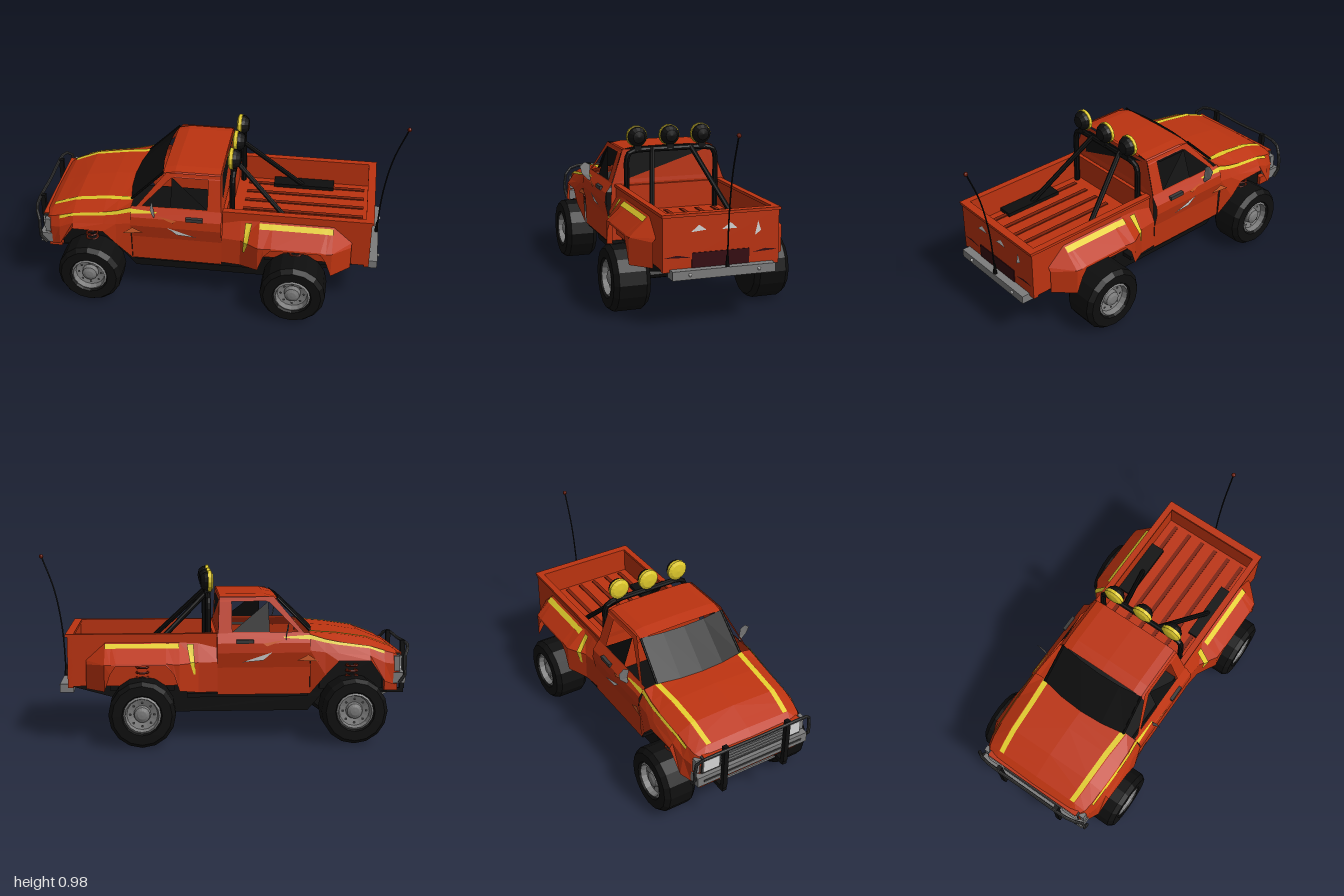
import * as THREE from 'three';

const mat = (name, color) => {
  const m = new THREE.MeshStandardMaterial({ color, flatShading: true, side: THREE.DoubleSide });
  m.name = name;
  return m;
};

export function createModel() {
  const red = mat('body red', 0xbc3310), black = mat('black', 0x0e0e0e), yellow = mat('stripe yellow', 0xe2cc2c);
  const grey = mat('metal grey', 0x7c7c7c), white = mat('decal white', 0xd6d6d6), darkRed = mat('dark red', 0x350a10);
  const orange = mat('decal orange', 0xcf5a28), groove = mat('groove red', 0x7c210c), darkGrey = mat('dark grey', 0x3a3a3a);

  const root = new THREE.Group();
  root.name = 'pickupTruck';
  const add = (name, geo, m, x = 0, y = 0, z = 0) => {
    const mesh = new THREE.Mesh(geo, m);
    mesh.name = name;
    mesh.position.set(x, y, z);
    root.add(mesh);
    return mesh;
  };
  // box given by its min and max on each axis
  const box = (name, m, x0, x1, y0, y1, z0, z1) =>
    add(name, new THREE.BoxGeometry(x1 - x0, y1 - y0, z1 - z0), m, (x0 + x1) / 2, (y0 + y1) / 2, (z0 + z1) / 2);
  // surface through rows of [x, y, z] points
  const grid = (name, m, rows) => {
    const n = rows[0].length, idx = [];
    for (let r = 0; r < rows.length - 1; r++) for (let c = 0; c < n - 1; c++) {
      const a = r * n + c;
      idx.push(a, a + n, a + 1, a + 1, a + n, a + n + 1);
    }
    const g = new THREE.BufferGeometry();
    g.setAttribute('position', new THREE.Float32BufferAttribute(rows.flat(2), 3));
    g.setIndex(idx);
    g.computeVertexNormals();
    return add(name, g, m);
  };
  const flip = (rows, s) => rows.map(r => r.map(([x, y, z]) => [x, y, z * s]));
  const tri = (name, m, a, b, c) => grid(name, m, [[a, b], [c, c]]);
  const frame = (name, m, outer, inner) => grid(name, m, [[...outer, outer[0]], [...inner, inner[0]]]);
  const tube = (name, m, pts, r, smooth = false) => {
    const v = pts.map(p => new THREE.Vector3(...p));
    let path = new THREE.CatmullRomCurve3(v);
    if (!smooth) {
      path = new THREE.CurvePath();
      for (let i = 1; i < v.length; i++) path.add(new THREE.LineCurve3(v[i - 1], v[i]));
    }
    return add(name, new THREE.TubeGeometry(path, smooth ? 20 : (v.length - 1) * 6, r, 8), m);
  };
  // band lying on a lofted surface, between t0 and t1 of one section segment
  const band = (name, rows, seg, t0, t1, s) => grid(name, yellow, flip(rows.map(r => [t0, t1].map(t =>
    r[seg].map((v, k) => v + (r[seg + 1][k] - v) * t + (k ? 0.004 : 0)))), s));

  // Half sections [z, y] from the hood centre to the lower edge
  const nose = [
    [-.94, 0, .465, .24, .46, .29, .45, .305, .41, .305, .30],
    [-.90, 0, .495, .25, .49, .315, .465, .335, .41, .335, .30],
    [-.85, 0, .515, .255, .51, .325, .48, .35, .42, .365, .32],
    [-.77, 0, .548, .26, .54, .33, .505, .36, .46, .378, .435],
    [-.60, 0, .575, .265, .565, .335, .53, .365, .475, .382, .435],
    [-.53, 0, .58, .27, .57, .335, .545, .365, .48, .38, .36],
    [-.45, 0, .585, .275, .578, .33, .57, .363, .49, .35, .255]];
  const fender = [
    [.04, .305, .50, .345, .43, .345, .27],
    [.14, .305, .525, .355, .43, .355, .27],
    [.24, .305, .53, .415, .43, .415, .29],
    [.27, .305, .53, .415, .43, .418, .38],
    [.31, .305, .53, .415, .435, .418, .425],
    [.57, .305, .53, .415, .435, .418, .425],
    [.60, .305, .53, .415, .43, .418, .38],
    [.63, .305, .53, .412, .43, .412, .29],
    [.73, .305, .44, .32, .42, .32, .29]];
  const toRows = t => t.map(([x, ...p]) => Array.from({ length: p.length / 2 }, (_, i) => [x, p[2 * i + 1], p[2 * i]]));
  const noseRows = toRows(nose), fenderRows = toRows(fender);
  const winZ = y => .325 - (y - .58) * .34;

  for (const s of [1, -1]) {
    const P = (x, y, z) => [x, y, z * s];
    const W = ([x, y], o = 0) => P(x, y, winZ(y) + o);
    const zBox = (name, m, x0, x1, y0, y1, z0, z1) => box(name, m, x0, x1, y0, y1, Math.min(z0 * s, z1 * s), Math.max(z0 * s, z1 * s));
    // Bodywork
    grid('hoodAndFrontFender', red, flip(noseRows, s));
    band('hoodStripe', noseRows.slice(1), 0, .86, .97, s);
    band('frontFenderStripe', noseRows.slice(2), 2, .02, .3, s);
    const cab = x => [P(x, .58, .325), P(x, .53, .36), P(x, .48, .365), P(x, .40, .348), P(x, .255, .345)];
    grid('doorPanel', red, [cab(-.45), cab(.04)]);
    grid('doorStripe', yellow, [[P(-.45, .57, .338), P(-.45, .548, .352)], [P(-.31, .562, .342), P(-.31, .556, .346)]]);
    grid('rearFender', red, flip(fenderRows, s));
    band('rearFenderStripe', [...fenderRows.slice(2, 7), fenderRows[7]], 0, .08, .3, s);
    grid('rearFenderStripeLeg', yellow, [[P(.165, .525, .322), P(.20, .525, .322)],
      [P(.16, .435, .375), P(.185, .435, .39)], [P(.155, .37, .37), P(.165, .37, .376)]]);
    // Cab sides
    frame('sideWindowFrame', red, [[-.425, .575], [-.265, .765], [.025, .765], [.035, .575]].map(p => W(p)),
      [[-.39, .585], [-.235, .742], [-.04, .742], [-.04, .585]].map(p => W(p)));
    tri('sideGlass', black, W([-.235, .742]), W([-.04, .585]), W([-.238, .585]));
    tube('windshieldEdge', black, [P(-.46, .583, .26), P(-.283, .757, .25)], .007);
    // Door details
    tri('doorDecal', white, P(-.25, .485, .37), P(-.09, .43, .362), P(-.20, .44, .364));
    tri('fenderDecal', orange, P(-.44, .47, .37), P(-.38, .438, .365), P(-.49, .435, .378));
    tri('sillDecal', orange, P(-.31, .545, .355), P(-.20, .53, .366), P(-.22, .515, .368));
    zBox('doorHandle', darkGrey, -.15, -.06, .53, .55, .35, .368);
    grid('mirror', grey, [[P(-.33, .62, .41), P(-.33, .642, .38), P(-.33, .625, .35)],
      [P(-.32, .575, .40), P(-.32, .57, .38), P(-.32, .57, .355)],
      [P(-.32, .53, .355), P(-.32, .53, .352), P(-.32, .53, .347)]]);
    // Bed wall and rim
    zBox('bedWall', red, .04, .82, .30, .57, .28, .304);
    zBox('bedRim', red, .04, .835, .562, .577, .275, .31);
    // Wheel housings, springs and wheels
    for (const [x, z0, z1] of [[-.68, .262, .445], [.435, .285, .478]]) {
      zBox('wheelHousing', black, x - .17, x + .17, .27, .45, .2, .29);
      for (let i = 0; i < 3; i++) {
        const coil = add('spring', new THREE.TorusGeometry(.03, .006, 5, 10), groove, x, .345 + i * .028, .31 * s);
        coil.rotation.x = Math.PI / 2;
      }
      const w = z1 - z0;
      const lathe = (name, m, pts, seg) => {
        const g = new THREE.LatheGeometry(pts.map(p => new THREE.Vector2(...p)), seg);
        g.rotateX(s * Math.PI / 2);
        return add(name, g, m, x, .175, z0 * s);
      };
      lathe('tire', black, [[0, .005], [.10, 0], [.155, 0], [.175, .025], [.175, w - .025], [.155, w], [.105, w], [.095, w - .02]], 16);
      lathe('rim', grey, [[.098, w - .012], [.088, w - .004], [.08, w - .035], [.045, w - .045], [.04, w - .02], [.022, w - .012], [0, w - .01]], 16);
      for (let i = 0; i < 8; i++) {
        const a = i * Math.PI / 4;
        add('rimHole', new THREE.CircleGeometry(.008, 6), darkGrey,
          x + Math.cos(a) * .063, .175 + Math.sin(a) * .063, s * (z1 - .034));
      }
      const axle = add('axle', new THREE.CylinderGeometry(.025, .025, .3, 8), black, x, .175, s * .15);
      axle.rotation.x = Math.PI / 2;
    }
    // Roll bar rear strut
    tube('rollBarStrut', black, [P(.085, .775, .11), P(.44, .43, .23)], .014);
    // Nose details
    zBox('headlight', white, -.952, -.93, .375, .445, .20, .295);
    zBox('cornerLamp', grey, -.935, -.905, .37, .45, .295, .33);
    zBox('bullBarPost', black, -.99, -.965, .25, .515, .175, .20);
    zBox('bullBarBracket', black, -.985, -.80, .228, .252, .175, .20);
    tri('tailLight', darkRed, P(.831, .363, .30), P(.831, .373, .23), P(.831, .357, .16));
    add('bumperBolt', new THREE.SphereGeometry(.009, 8, 6), white, .876, .284, .18 * s);
  }

  // Roof
  const roofRow = (x, y) => [[-.272, -.035], [-.25, -.012], [-.2, -.003], [0, 0], [.2, -.003], [.25, -.012], [.272, -.035]]
    .map(([z, d]) => [x, y + d, z]);
  grid('roof', red, [roofRow(-.285, .762), roofRow(-.22, .778), roofRow(.025, .778)]);

  // Windshield
  const across = [-1, -.5, 0, .5, 1];
  grid('windshield', black, [across.map(t => [-.49 + .03 * t * t, .583, .26 * t]), across.map(t => [-.305 + .022 * t * t, .759, .25 * t])]);

  // Cab rear wall with its window
  const hole = [[.032, .60, .24], [.026, .745, .22], [.026, .745, -.22], [.032, .60, -.24]];
  frame('cabRearFrame', red, [[.035, .575, .325], [.025, .765, .26], [.025, .765, -.26], [.035, .575, -.325]], hole);
  grid('cabRearWall', red, [[[.035, .58, .325], [.035, .58, -.325]], [[.035, .255, .345], [.035, .255, -.345]]]);
  tri('rearGlass', black, hole[0], hole[1], hole[2]);
  tri('rearWindowPanel', red, hole[0], hole[2], hole[3]);

  // Bed
  box('bedFloor', red, .04, .82, .40, .43, -.29, .29);
  box('bedFront', red, .04, .06, .30, .57, -.29, .29);
  box('tailgate', red, .80, .828, .29, .57, -.304, .304);
  box('tailgateRim', red, .795, .838, .562, .577, -.31, .31);
  for (const z of [-.227, -.135, -.045, .045, .135, .227]) box('bedGroove', groove, .12, .78, .43, .436, z - .011, z + .011);
  box('plateRecess', darkRed, .826, .832, .305, .38, -.145, .155);
  const tg = (y, z) => [.832, y, z];
  tri('tailgateDecal', white, tg(.518, .12), tg(.484, .16), tg(.49, .08));
  tri('tailgateDecal', white, tg(.518, -.045), tg(.487, 0), tg(.487, -.08));
  tri('tailgateDecal', white, tg(.515, -.19), tg(.443, -.173), tg(.466, -.206));

  // Chassis
  const prof = [[-.92, .30], [-.88, .25], [-.52, .23], [-.45, .15], [.28, .15], [.62, .24], [.80, .29], [.80, .33], [-.92, .33]];
  const shape = new THREE.Shape(prof.map(p => new THREE.Vector2(...p)));
  add('chassis', new THREE.ExtrudeGeometry(shape, { depth: .54, bevelEnabled: false }), black, 0, 0, -.27);
  box('sideSill', black, -.44, .2, .24, .262, -.335, .335);
  const skid = box('skidPlate', grey, -.93, -.69, .185, .193, -.18, .18);
  skid.rotation.z = -.4;

  // Grille and bumpers
  box('grillePanel', darkGrey, -.944, -.92, .30, .46, -.30, .30);
  box('grilleTop', red, -.95, -.92, .45, .466, -.29, .29);
  for (let i = 0; i < 4; i++) box('grilleBar', grey, -.953, -.94, .38 + i * .018, .388 + i * .018, -.19, .19);
  box('frontBumper', grey, -.965, -.90, .305, .362, -.335, .335);
  box('frontBumperGroove', darkGrey, -.968, -.964, .326, .338, -.30, .30);
  box('rearBumper', grey, .80, .873, .26, .305, -.268, .268);
  box('valance', red, -.93, -.86, .26, .31, -.30, .30);
  tube('bullBarHoop', darkGrey, [[-.93, .31, .345], [-.955, .34, .35], [-.96, .46, .34], [-.985, .495, .29], [-.99, .50, 0],
    [-.985, .495, -.29], [-.96, .46, -.34], [-.955, .34, -.35], [-.93, .31, -.345]], .009, true);

  // Roll bar and lamps
  tube('rollBar', black, [[.085, .43, .256], [.085, .72, .256], [.085, .755, .24], [.085, .768, .20], [.085, .768, -.20],
    [.085, .755, -.24], [.085, .72, -.256], [.085, .43, -.256]], .0155);
  for (const z of [.195, .01, -.172]) {
    const lathe = (name, m, pts) => {
      const g = new THREE.LatheGeometry(pts.map(p => new THREE.Vector2(...p)), 14);
      g.rotateZ(-Math.PI / 2);
      add(name, g, m, 0, .84, z);
    };
    lathe('lampLens', yellow, [[0, .052], [.04, .056], [.058, .065], [.058, .082], [.052, .084]]);
    lathe('lampHousing', black, [[.054, .082], [.05, .10], [.032, .12], [0, .126]]);
    box('lampMount', black, .07, .10, .765, .80, z - .02, z + .02);
  }

  // Antenna
  add('antennaBase', new THREE.CylinderGeometry(.006, .011, .06, 8), black, .862, .335, -.017);
  tube('antenna', black, [[.862, .31, -.017], [.878, .567, -.017], [.917, .78, -.017], [.982, .962, -.017]], .004, true);
  add('antennaTip', new THREE.SphereGeometry(.012, 8, 6), groove, .984, .965, -.017);

  return root;
}
